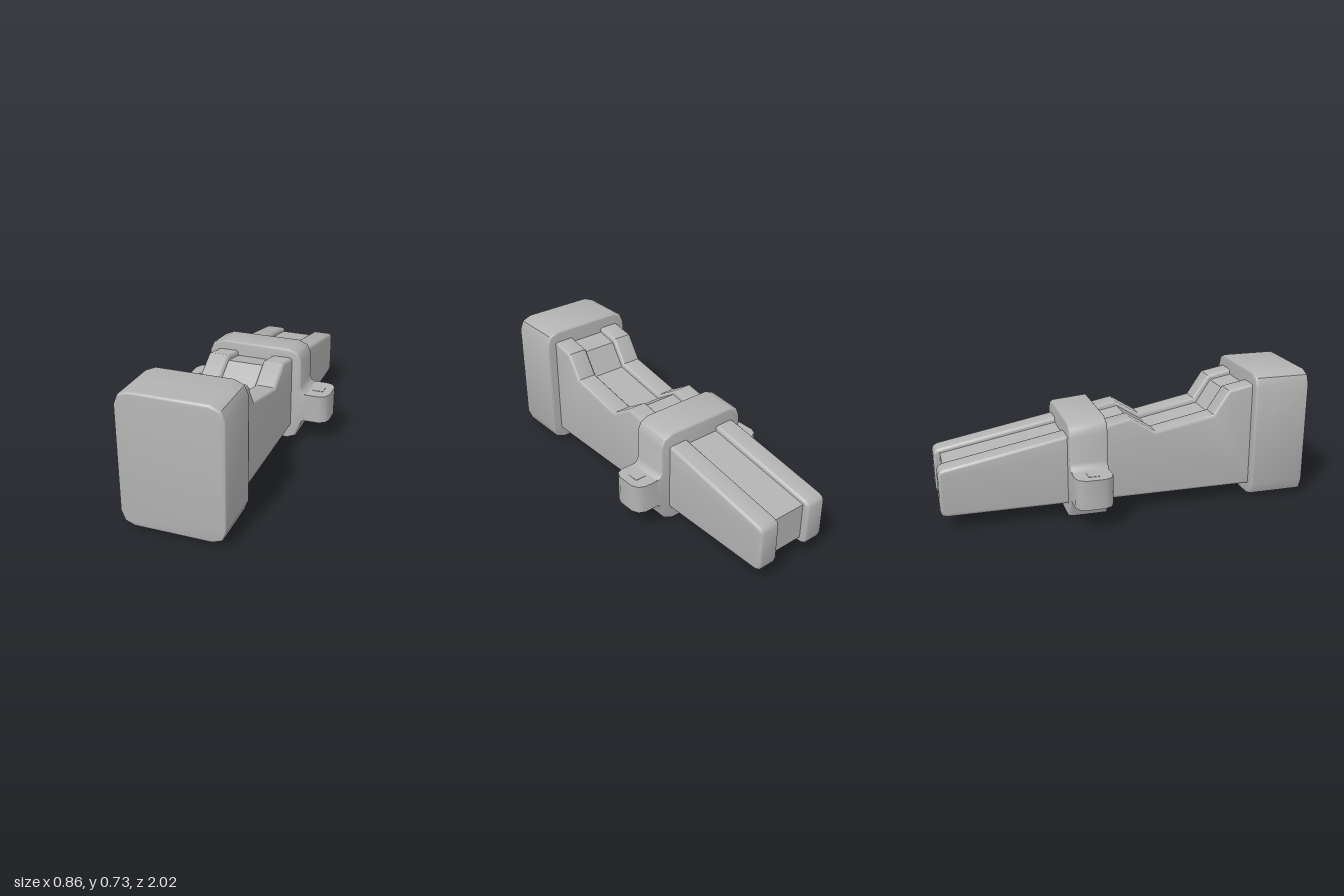
import * as THREE from 'three';
import { toCreasedNormals } from 'three/addons/utils/BufferGeometryUtils.js';

const grey = new THREE.MeshStandardMaterial({ color: 0xb3b3b3 });
grey.name = 'plain grey';

const shapeOf = (points) => new THREE.Shape(points.map(([x, y]) => new THREE.Vector2(x, y)));

// Extrudes an outline to an exact depth, with edges rounded inwards
function extrude(points, depth, bevel) {
  const geometry = new THREE.ExtrudeGeometry(shapeOf(points), {
    depth: depth - 2 * bevel,
    bevelEnabled: bevel > 0,
    bevelThickness: bevel,
    bevelSize: bevel,
    bevelOffset: -bevel,
    bevelSegments: 3,
  });
  return geometry.translate(0, 0, bevel);
}

// Completes a right-hand outline (listed bottom to top) with its mirror image
const mirrored = (half) => [...half, ...half.map(([x, y]) => [-x, y]).reverse()];

export function createModel() {
  const group = new THREE.Group();
  const add = (name, geometry, crease = 0.75) => {
    const mesh = new THREE.Mesh(toCreasedNormals(geometry, crease), grey);
    mesh.name = name;
    group.add(mesh);
    return mesh;
  };

  // Head block with cut corners
  const head = mirrored([
    [0.2, 0.015], [0.252, 0.035], [0.273, 0.09],
    [0.273, 0.655], [0.252, 0.705], [0.2, 0.727],
  ]);
  const headGeometry = extrude(head, 0.31, 0.012);
  // Only the rear rim is rounded; the front face stays full size
  const front = new THREE.ExtrudeGeometry(shapeOf(head), { depth: 0.2, bevelEnabled: false });
  add('head', headGeometry.translate(0, 0, 0.71));
  add('headFront', front.translate(0, 0, 0.8));

  // Side rails: profile in (-z, y), swept along x
  const rail = [
    [-0.75, 0.08], [0.97, 0.08], [0.992, 0.09], [1, 0.115],
    [1, 0.31], [0.992, 0.33], [0.97, 0.342],
    [-0.02, 0.53], [-0.16, 0.442], [-0.49, 0.507], [-0.575, 0.637], [-0.75, 0.67],
  ];
  for (const side of [-1, 1]) {
    const geometry = extrude(rail, 0.12, 0.016).rotateY(Math.PI / 2);
    geometry.translate(side < 0 ? -0.22 : 0.1, 0, 0);
    add(side < 0 ? 'rightRail' : 'leftRail', geometry);
  }

  // Recessed core between the rails
  const core = [
    [-0.75, 0.115], [0.965, 0.115], [0.965, 0.318],
    [-0.03, 0.503], [-0.165, 0.416], [-0.505, 0.482], [-0.59, 0.612], [-0.75, 0.643],
  ];
  add('core', extrude(core, 0.21, 0).rotateY(Math.PI / 2).translate(-0.105, 0, 0), 0.4);

  // Collar around the rails, flaring into the lugs at each side
  const collar = mirrored([
    [0.2, 0], [0.25, 0.022], [0.273, 0.085], [0.285, 0.115], [0.305, 0.127],
    [0.305, 0.29], [0.285, 0.302], [0.273, 0.33],
    [0.273, 0.485], [0.252, 0.533], [0.2, 0.556],
  ]);
  const collarGeometry = extrude(collar, 0.207, 0.012).translate(0, 0, -0.327);
  // The collar's top slopes down toward the rear
  const position = collarGeometry.attributes.position;
  for (let i = 0; i < position.count; i++) {
    const y = position.getY(i);
    if (y > 0.4) position.setY(i, y + 0.09 * (position.getZ(i) + 0.12));
  }
  collarGeometry.computeVertexNormals();
  add('collar', collarGeometry);

  // Lugs: plan outline in (x, -z), raised along y, with small square pads
  const lug = [
    [0.25, 0.122], [0.38, 0.122], [0.415, 0.138], [0.432, 0.175],
    [0.432, 0.275], [0.415, 0.31], [0.38, 0.326], [0.25, 0.326],
  ];
  for (const side of [-1, 1]) {
    const label = side < 0 ? 'right' : 'left';
    const outline = lug.map(([x, z]) => [side * x, z]);
    add(label + 'Lug', extrude(outline, 0.163, 0).rotateX(-Math.PI / 2).translate(0, 0.127, 0));
    for (const [end, y] of [['Upper', 0.29], ['Lower', 0.127]]) {
      const pad = new THREE.BoxGeometry(0.06, 0.004, 0.06);
      add(label + end + 'Pad', pad.translate(side * 0.355, y, -0.224));
    }
  }
  return group;
}
